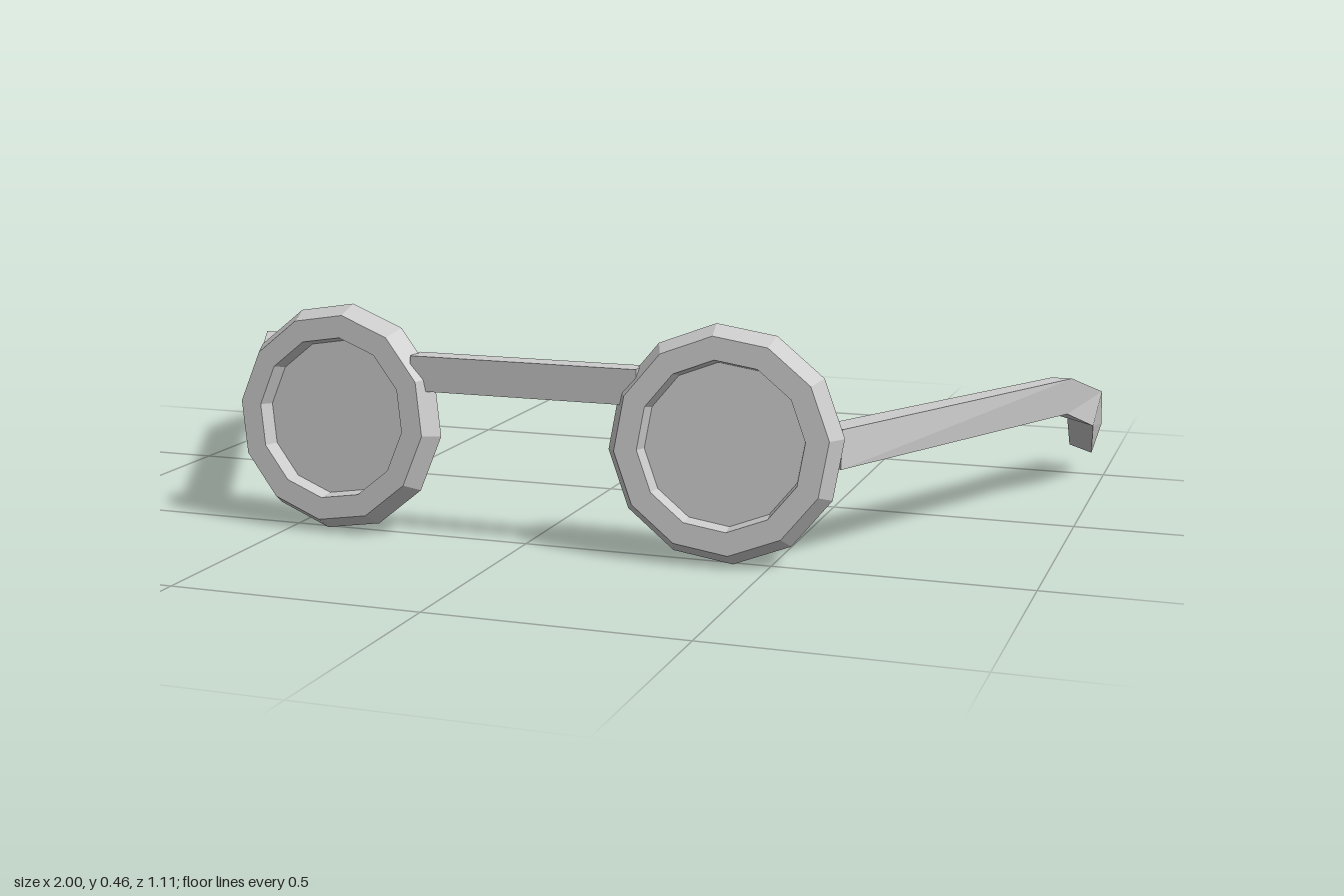
import * as THREE from 'three';

const material = new THREE.MeshStandardMaterial({ color: 0xcccccc, flatShading: true });

function addMesh(parent, name, geometry) {
  const mesh = new THREE.Mesh(geometry, material);
  mesh.name = name;
  parent.add(mesh);
  return mesh;
}

// Closed rim cross-section as [radius, depth], from the back inner edge around the outside
const RIM = [
  [0.163, -0.04], [0.2, -0.04], [0.23, 0], [0.208, 0.042],
  [0.163, 0.042], [0.155, 0], [0.163, -0.04],
];

// Twelve-sided rim with a thin pane, tipped back and turned slightly outward
function makeEyepiece(side, label) {
  const group = new THREE.Group();
  group.name = label + 'Eyepiece';
  const rim = new THREE.LatheGeometry(RIM.map(([r, z]) => new THREE.Vector2(r, z)), 12);
  const pane = new THREE.CylinderGeometry(0.158, 0.158, 0.016, 12);
  for (const g of [rim, pane]) g.rotateX(Math.PI / 2).rotateZ(side * 0.105);
  addMesh(group, 'rim', rim);
  addMesh(group, 'lens', pane);
  group.position.set(side * 0.404, 0.232, 0.492);
  group.rotation.set(-0.09, side * 0.06, 0);
  return group;
}

// Temple sections, front to tip: outer top, inner top, inner bottom, outer bottom
const TEMPLE = [
  [[0.625, 0.27, 0.465], [0.578, 0.27, 0.43], [0.578, 0.195, 0.435], [0.625, 0.195, 0.475]],
  [[0.957, 0.27, -0.22], [0.915, 0.27, -0.22], [0.9, 0.196, -0.22], [0.95, 0.193, -0.22]],
  [[1.0, 0.212, -0.405], [0.955, 0.222, -0.41], [0.932, 0.163, -0.36], [0.99, 0.145, -0.35]],
  [[0.985, 0.11, -0.555], [0.935, 0.12, -0.555], [0.92, 0.065, -0.518], [0.97, 0.05, -0.515]],
];

// Skins the four-cornered sections, keeping faces outward on both sides
function makeTemple(side) {
  const positions = [];
  const quad = (a, b, c, d) => {
    const corners = side > 0 ? [a, b, c, a, c, d] : [a, c, b, a, d, c];
    for (const [x, y, z] of corners) positions.push(side * x, y, z);
  };
  for (let i = 0; i < TEMPLE.length - 1; i++) {
    const p = TEMPLE[i], q = TEMPLE[i + 1];
    for (let j = 0; j < 4; j++) {
      const k = (j + 1) % 4;
      quad(p[j], q[j], q[k], p[k]);
    }
  }
  quad(...TEMPLE[0]);
  quad(...[...TEMPLE[TEMPLE.length - 1]].reverse());
  const geometry = new THREE.BufferGeometry();
  geometry.setAttribute('position', new THREE.Float32BufferAttribute(positions, 3));
  geometry.computeVertexNormals();
  return geometry;
}

export function createModel() {
  const model = new THREE.Group();
  model.name = 'eyeglasses';

  for (const [side, label] of [[1, 'left'], [-1, 'right']]) {
    model.add(makeEyepiece(side, label));
    addMesh(model, label + 'Temple', makeTemple(side));
  }

  // Straight bar joining the rims
  addMesh(model, 'bridge', new THREE.BoxGeometry(0.47, 0.07, 0.05)).position.set(0, 0.335, 0.495);

  return model;
}
